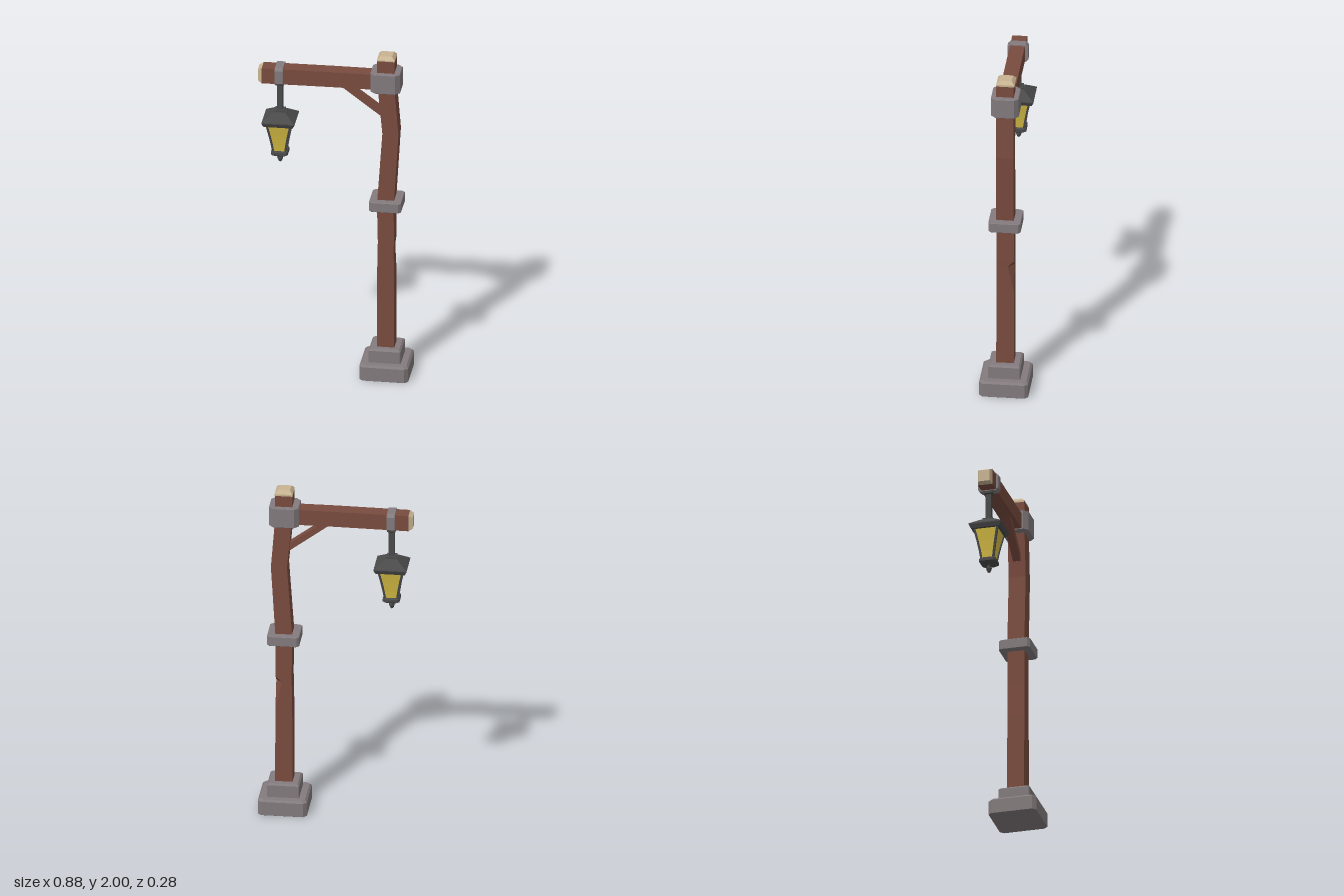
import * as THREE from 'three';

const mat = (color) => new THREE.MeshStandardMaterial({ color, flatShading: true });
const wood = mat(0x7a4c3f), endGrain = mat(0xc9b492), stone = mat(0x837b7d);
const iron = mat(0x4a4a4a), glass = mat(0xd6bd45);

// Skin a stack of rings of [x, y, z] points (counterclockwise from above) and cap both ends
function loft(rings) {
  const pos = [];
  const tri = (a, b, c) => pos.push(...a, ...b, ...c);
  const n = rings[0].length;
  for (let i = 0; i < rings.length - 1; i++) {
    for (let k = 0; k < n; k++) {
      const a = rings[i][k], b = rings[i][(k + 1) % n];
      const c = rings[i + 1][(k + 1) % n], d = rings[i + 1][k];
      tri(a, b, c);
      tri(a, c, d);
    }
  }
  const lo = rings[0], hi = rings[rings.length - 1];
  for (let k = 1; k < n - 1; k++) {
    tri(hi[0], hi[k], hi[k + 1]);
    tri(lo[0], lo[k + 1], lo[k]);
  }
  const g = new THREE.BufferGeometry();
  g.setAttribute('position', new THREE.Float32BufferAttribute(pos, 3));
  g.computeVertexNormals();
  return g;
}

// Rectangle ring with half sizes hx, hz; a cut above 0 gives chamfered corners
function rect(y, hx, hz = hx, cut = 0, cx = 0, cz = 0) {
  const p = cut > 0
    ? [[hx - cut, hz], [hx, hz - cut], [hx, cut - hz], [hx - cut, -hz],
      [cut - hx, -hz], [-hx, cut - hz], [-hx, hz - cut], [cut - hx, hz]]
    : [[hx, hz], [hx, -hz], [-hx, -hz], [-hx, hz]];
  return p.map(([x, z]) => [cx + x, y, cz + z]);
}

// Block with chamfered upright corners and bevelled rims
function block(y0, y1, hx, hz, cut, bevel, bottomBevel = bevel) {
  return loft([
    rect(y0, hx - bottomBevel, hz - bottomBevel, cut),
    rect(y0 + bottomBevel, hx, hz, cut),
    rect(y1 - bevel, hx, hz, cut),
    rect(y1, hx - bevel, hz - bevel, cut),
  ]);
}

function add(parent, name, geometry, material, x = 0, y = 0, z = 0) {
  const m = new THREE.Mesh(geometry, material);
  m.name = name;
  m.position.set(x, y, z);
  parent.add(m);
  return m;
}

function buildPost(root) {
  const px = 0.295;
  add(root, 'baseLower', block(0, 0.095, 0.14, 0.14, 0.02, 0.012, 0.001), stone, px);
  add(root, 'baseUpper', block(0.09, 0.177, 0.092, 0.092, 0.004, 0.01, 0.001), stone, px);

  // Crooked post: [height, centre x, half width, notch in the back corner]
  const sections = [
    [0.15, 0.295, 0.05, 0], [0.64, 0.295, 0.048, 0], [0.8, 0.296, 0.046, 0.036],
    [0.835, 0.297, 0.046, 0], [1.07, 0.294, 0.048, 0], [1.52, 0.323, 0.046, 0],
    [1.82, 0.297, 0.048, 0], [1.975, 0.296, 0.05, 0],
  ];
  const hz = 0.05;
  add(root, 'post', loft(sections.map(([y, cx, h, c]) => [
    [cx + h, y, hz], [cx + h, y, c - hz], [cx + h - c, y, -hz], [cx - h, y, -hz], [cx - h, y, hz],
  ])), wood);
  add(root, 'postCap', loft([
    rect(1.97, 0.051, 0.052), rect(1.981, 0.051, 0.052), rect(2, 0.035),
  ]), endGrain, 0.296, 0, -0.002);

  add(root, 'middleBand', block(1.042, 1.102, 0.092, 0.092, 0.014, 0.003), stone, 0.296);
  add(root, 'topCollar', block(1.782, 1.902, 0.085, 0.079, 0.025, 0.003), stone, 0.294);
}

function buildArm(root) {
  // Local y runs outward along the arm (-x), local x becomes world up
  const arm = new THREE.Group();
  arm.name = 'arm';
  arm.rotation.z = Math.PI / 2;
  arm.position.y = 1.833;
  root.add(arm);
  add(arm, 'armBeam', loft([
    rect(-0.26, 0.047, 0.043, 0, 0.004), rect(0, 0.047, 0.043, 0, 0.004), rect(0.416, 0.047, 0.043),
  ]), wood);
  add(arm, 'armEnd', loft([rect(0.416, 0.047, 0.043), rect(0.44, 0.034, 0.033)]), endGrain);
  add(arm, 'armBand', block(0.293, 0.341, 0.055, 0.06, 0.016, 0.002), stone, 0.002, 0, -0.002);

  // Diagonal brace
  const s = new THREE.Shape([[0.03, 1.793], [0.27, 1.613], [0.3, 1.613], [0.3, 1.638], [0.09, 1.793]]
    .map(([x, y]) => new THREE.Vector2(x, y)));
  const brace = new THREE.ExtrudeGeometry(s, { depth: 0.044, bevelEnabled: false });
  add(root, 'brace', brace, wood, 0, 0, -0.022);
}

function buildLantern(root) {
  const lantern = new THREE.Group();
  lantern.name = 'lantern';
  lantern.position.set(-0.317, 0, -0.004);
  root.add(lantern);
  const stack = (name, list, m) => add(lantern, name, loft(list.map(([y, h]) => rect(y, h))), m);

  stack('hangerPlate', [[1.763, 0.018], [1.768, 0.024], [1.785, 0.024]], iron);
  stack('hangerRod', [[1.6, 0.016], [1.78, 0.016]], iron);
  stack('roofCollar', [[1.59, 0.029], [1.612, 0.029]], iron);
  stack('roof', [[1.53, 0.084], [1.552, 0.094], [1.558, 0.094], [1.602, 0.034]], iron);

  // Flared glass with a bar along each corner
  const flare = [[1.345, 0.034], [1.4, 0.042], [1.46, 0.053], [1.535, 0.069]];
  stack('glass', flare, glass);
  for (const sx of [1, -1]) {
    for (const sz of [1, -1]) {
      const bar = loft(flare.map(([y, h]) => rect(y, 0.006, 0.006, 0, sx * (h - 0.001), sz * (h - 0.001))));
      add(lantern, 'cornerBar', bar, iron);
    }
  }

  add(lantern, 'lanternFoot', loft([
    rect(1.325, 0.032, 0.032, 0.008), rect(1.337, 0.048, 0.048, 0.01),
    rect(1.354, 0.048, 0.048, 0.01), rect(1.36, 0.042, 0.042, 0.01),
  ]), iron);
  const profile = [[0, 1.278], [0.009, 1.284], [0.017, 1.303], [0.015, 1.312], [0.009, 1.317], [0.013, 1.33]];
  add(lantern, 'finial', new THREE.LatheGeometry(profile.map(([r, y]) => new THREE.Vector2(r, y)), 8), iron);
}

export function createModel() {
  const root = new THREE.Group();
  root.name = 'lanternPost';
  buildPost(root);
  buildArm(root);
  buildLantern(root);
  return root;
}
